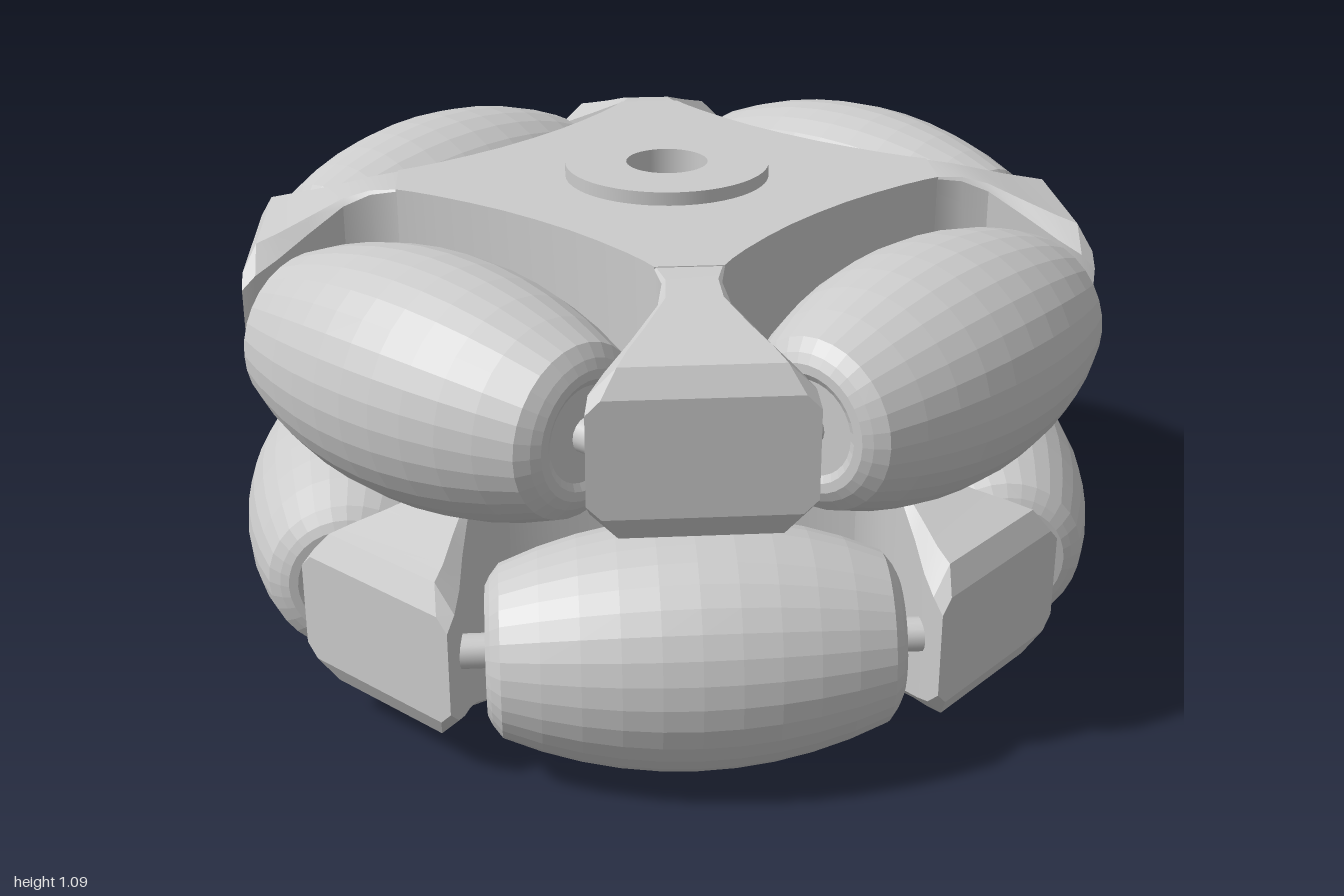
import * as THREE from 'three';
import { toCreasedNormals } from 'three/addons/utils/BufferGeometryUtils.js';

const HALF = 0.267;      // half thickness of one wheel disc
const ROLLER_AXIS = 0.73; // distance of roller axles from the centre
const HUB_R = 0.23, BORE_R = 0.092;

const smooth = new THREE.MeshStandardMaterial({ color: 0xcccccc });
const faceted = new THREE.MeshStandardMaterial({ color: 0xcccccc, flatShading: true });

function part(name, geometry, material) {
  const mesh = new THREE.Mesh(geometry, material);
  mesh.name = name;
  return mesh;
}

// Central plate: four shallow curved notches around a round hole
function coreGeometry() {
  const notch = [[0.48, -0.38], [0.467, -0.34], [0.453, -0.28], [0.438, -0.19], [0.428, -0.1], [0.425, 0],
    [0.428, 0.1], [0.438, 0.19], [0.453, 0.28], [0.467, 0.34], [0.48, 0.38]];
  const outline = [];
  for (let k = 0; k < 4; k++) {
    for (const [u, v] of notch) {
      outline.push(new THREE.Vector2(u, v).rotateAround(new THREE.Vector2(), k * Math.PI / 2));
    }
  }
  const shape = new THREE.Shape(outline);
  shape.holes.push(new THREE.Path().absarc(0, 0, HUB_R, 0, Math.PI * 2, true));
  const geo = new THREE.ExtrudeGeometry(shape, { depth: HALF * 2, bevelEnabled: false, curveSegments: 24 });
  geo.translate(0, 0, -HALF).rotateX(-Math.PI / 2);
  return toCreasedNormals(geo, 0.5);
}

// Arm: bevelled rectangular sections lofted outward, flaring from a narrow neck
function armGeometry() {
  // distance, half width, half height, bevel
  const sections = [
    [0.57, 0.088, 0.266, 0.002], [0.61, 0.07, 0.265, 0.004], [0.665, 0.06, 0.26, 0.008],
    [0.725, 0.072, 0.245, 0.015], [0.8, 0.13, 0.217, 0.03], [0.863, 0.184, 0.195, 0.045],
    [0.91, 0.217, 0.18, 0.055], [0.94, 0.225, 0.125, 0.03],
  ];
  const pos = [], index = [], n = 8;
  for (const [d, w, h, b] of sections) {
    const ring = [[w, -h + b], [w, h - b], [w - b, h], [b - w, h], [-w, h - b], [-w, b - h], [b - w, -h], [w - b, -h]];
    for (const [x, y] of ring) pos.push(x, y, d);
  }
  for (let i = 0; i < sections.length - 1; i++) {
    for (let j = 0; j < n; j++) {
      const a = i * n + j, b = i * n + (j + 1) % n;
      index.push(a, b, b + n, a, b + n, a + n);
    }
  }
  // Flat outer end
  const last = (sections.length - 1) * n;
  for (let j = 1; j < n - 1; j++) index.push(last, last + j, last + j + 1);
  const geo = new THREE.BufferGeometry();
  geo.setAttribute('position', new THREE.Float32BufferAttribute(pos, 3));
  geo.setIndex(index);
  return toCreasedNormals(geo, 0.45);
}

// Barrel roller whose outer curve follows the unit wheel circle
function rollerGeometry() {
  const half = 0.43, round = 0.03, steps = 10;
  const radius = (t) => Math.sqrt(0.995 * 0.995 - t * t) - ROLLER_AXIS;
  const profile = [[0, -half + 0.01], [0.1, -half + 0.01], [0.115, -half], [0.135, -half], [0.155, -half + 0.01]];
  for (let i = 0; i <= steps; i++) {
    const t = (half - round) * (2 * i / steps - 1);
    profile.push([radius(t), t]);
  }
  for (let i = 4; i >= 0; i--) profile.push([profile[i][0], -profile[i][1]]);
  const geo = new THREE.LatheGeometry(profile.map(([r, y]) => new THREE.Vector2(r, y)), 32);
  return geo.rotateZ(Math.PI / 2);
}

export function createModel() {
  const model = new THREE.Group();
  model.name = 'omniWheel';

  const core = coreGeometry();
  const arm = armGeometry();
  const roller = rollerGeometry();
  const pin = new THREE.CylinderGeometry(0.037, 0.037, 1.02, 16).rotateZ(Math.PI / 2);

  // Two identical discs, the lower one turned by an eighth of a turn
  const layers = [['lowerDisc', HALF, Math.PI / 4], ['upperDisc', 0.793, 0]];
  for (const [name, y, turn] of layers) {
    const disc = new THREE.Group();
    disc.name = name;
    disc.add(part('corePlate', core, smooth));
    for (let k = 0; k < 4; k++) {
      const angle = k * Math.PI / 2;
      const armMesh = part('arm', arm, smooth);
      armMesh.rotation.y = angle + Math.PI / 4;
      const station = new THREE.Group();
      station.name = 'rollerStation';
      station.rotation.y = angle;
      const barrel = part('roller', roller, faceted);
      const axle = part('rollerPin', pin, smooth);
      barrel.position.z = axle.position.z = ROLLER_AXIS;
      station.add(barrel, axle);
      disc.add(armMesh, station);
    }
    disc.position.y = y;
    disc.rotation.y = turn + THREE.MathUtils.degToRad(2.6);
    model.add(disc);
  }

  // Hub tube through both discs, standing proud on top
  const hubProfile = [[BORE_R, 0], [HUB_R, 0], [HUB_R, 1.09], [BORE_R, 1.09], [BORE_R, 0]];
  const hub = new THREE.LatheGeometry(hubProfile.map(([r, y]) => new THREE.Vector2(r, y)), 48);
  model.add(part('hub', toCreasedNormals(hub, 0.5), smooth));

  return model;
}
